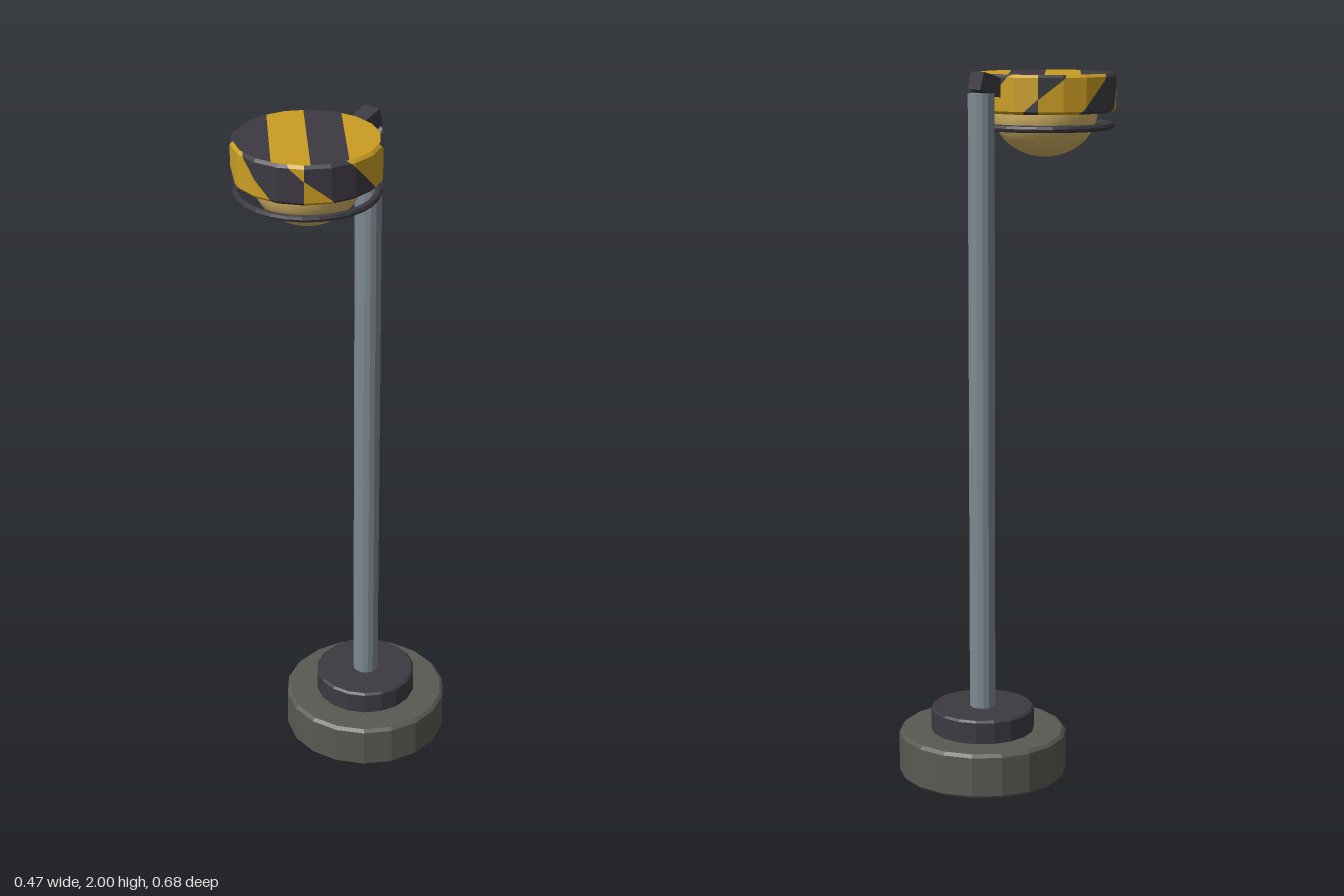
import * as THREE from 'three';

const mat = (name, color) => {
  const m = new THREE.MeshStandardMaterial({ color });
  m.name = name;
  return m;
};

const SIDES = 18;
const POLE_Z = -0.104, HEAD_Z = 0.14;
const HEAD_R = 0.2, HEAD_H = 0.108, HEAD_Y = 1.937, STRIPE = 0.14;

// Closed bevelled disc, standing on y = 0
function bevelDisc(r, h, b) {
  const pts = [[0, 0], [r - b, 0], [r, b], [r, h - b], [r - b, h], [0, h]];
  return new THREE.LatheGeometry(pts.map(p => new THREE.Vector2(...p)), SIDES).toNonIndexed();
}

// Keep the part of a polygon where f(point) >= 0
function clip(poly, f) {
  const out = [];
  poly.forEach((a, i) => {
    const b = poly[(i + 1) % poly.length], fa = f(a), fb = f(b);
    if (fa >= 0) out.push(a);
    if ((fa >= 0) !== (fb >= 0)) out.push(a.clone().lerp(b, fa / (fa - fb)));
  });
  return out;
}

// Cut every face of the geometry along diagonal bands; returns [band colour A, band colour B]
function splitStripes(geometry) {
  const pos = geometry.attributes.position, out = [[], []];
  for (let i = 0; i < pos.count; i += 3) {
    const tri = [0, 1, 2].map(j => new THREE.Vector3().fromBufferAttribute(pos, i + j));
    const n = new THREE.Triangle(...tri).getNormal(new THREE.Vector3());
    if (n.lengthSq() < 0.5) continue;
    const ax = Math.abs(n.x), ay = Math.abs(n.y), az = Math.abs(n.z);
    // Stripe direction follows the axis the face looks along
    const w = ay > 0.71 ? p => p.x - p.z
      : ax > az ? p => p.z - p.y
      : p => p.x + p.y;
    for (let k = -3; k < 3; k++) {
      const low = clip(tri, p => w(p) - k * STRIPE);
      const band = clip(low, p => (k + 1) * STRIPE - w(p));
      for (let j = 1; j + 1 < band.length; j++) {
        for (const p of [band[0], band[j], band[j + 1]]) out[k & 1].push(p.x, p.y, p.z);
      }
    }
  }
  return out.map(a => {
    const g = new THREE.BufferGeometry();
    g.setAttribute('position', new THREE.Float32BufferAttribute(a, 3));
    g.computeVertexNormals();
    return g;
  });
}

export function createModel() {
  const stone = mat('stone grey', 0x5a5a54);
  const dark = mat('charcoal', 0x3c3a41);
  const steel = mat('steel', 0x7d8992);
  const yellow = mat('warning yellow', 0xca9e22);
  const amber = mat('lamp glass', 0xd6b566);
  for (const m of [stone, dark, steel]) m.flatShading = true;

  const model = new THREE.Group();
  model.name = 'warningLamp';
  const add = (name, geometry, material, x, y, z, parent = model) => {
    const mesh = new THREE.Mesh(geometry, material);
    mesh.name = name;
    mesh.position.set(x, y, z);
    parent.add(mesh);
    return mesh;
  };

  // Foot and pole
  add('base', bevelDisc(0.24, 0.13, 0.009), stone, 0, 0, POLE_Z);
  add('baseCollar', bevelDisc(0.148, 0.075, 0.006), dark, 0, 0.122, POLE_Z);
  add('pole', new THREE.CylinderGeometry(0.037, 0.037, 1.76, 14), steel, 0, 1.06, POLE_Z);

  // Tilted arm joining pole and head
  const arm = add('arm', new THREE.BoxGeometry(0.052, 0.05, 0.13), dark, 0, 1.957, -0.062);
  arm.rotation.x = 0.29;

  // Striped head
  const head = new THREE.Group();
  head.name = 'lampHead';
  head.position.set(0, HEAD_Y, HEAD_Z);
  model.add(head);
  const disc = bevelDisc(HEAD_R, HEAD_H, 0.008).translate(0, -HEAD_H / 2, 0);
  const [darkBands, yellowBands] = splitStripes(disc);
  add('darkStripes', darkBands, dark, 0, 0, 0, head);
  add('yellowStripes', yellowBands, yellow, 0, 0, 0, head);

  // Glass dome and guard ring below the head
  const dome = add('glassDome',
    new THREE.SphereGeometry(0.148, 28, 12, 0, Math.PI * 2, Math.PI / 2, Math.PI / 2),
    amber, 0, -0.05, 0, head);
  dome.scale.y = 0.88;
  const ring = add('guardRing', new THREE.TorusGeometry(0.186, 0.01, 8, 28), dark, 0, -0.093, 0, head);
  ring.rotation.x = Math.PI / 2;

  return model;
}
